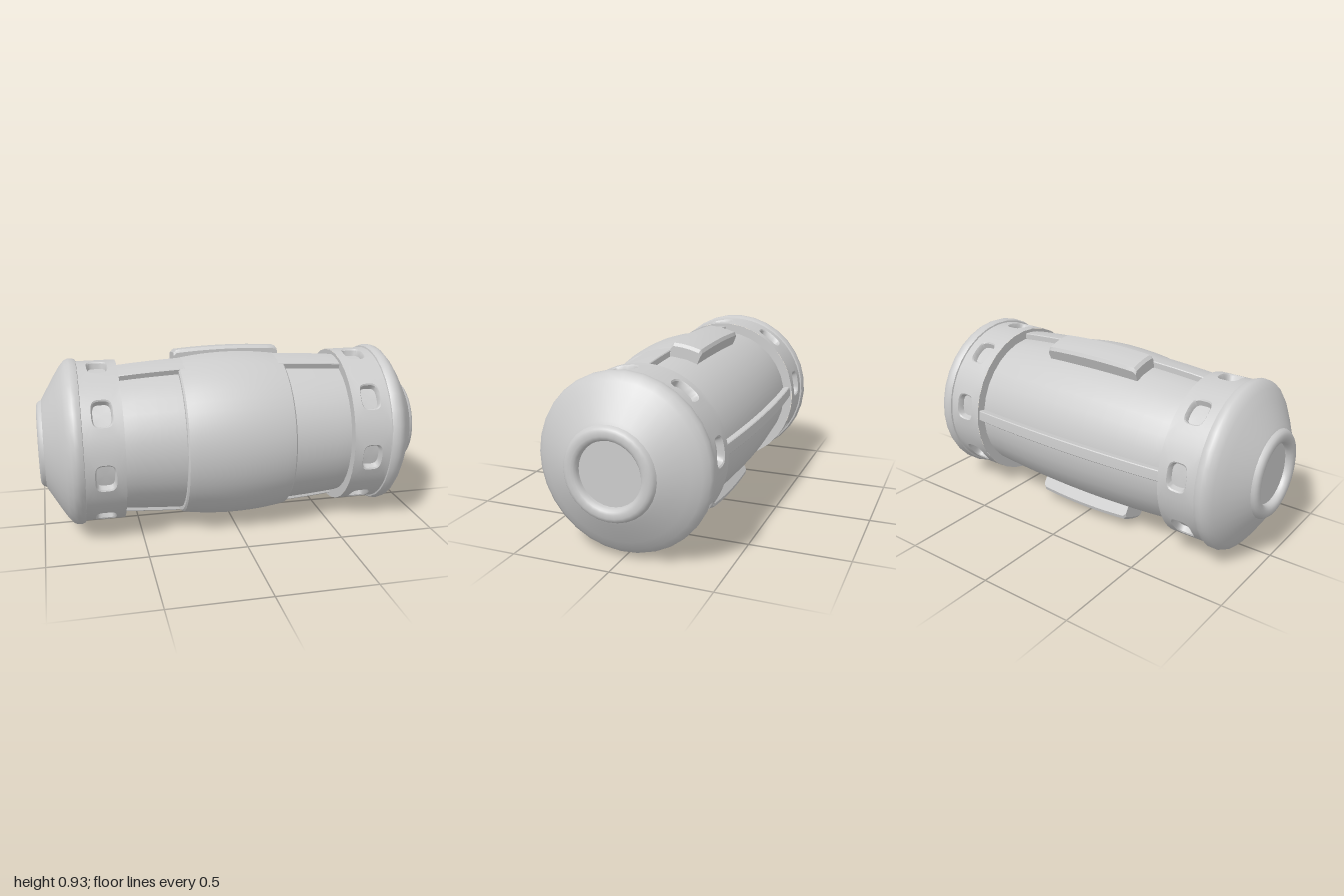
import * as THREE from 'three';
import { mergeGeometries, toCreasedNormals } from 'three/addons/utils/BufferGeometryUtils.js';

const AXIS_Y = 0.457, AXIS_Z = -0.003, DEG = Math.PI / 180;
const material = new THREE.MeshStandardMaterial({ color: 0xcccccc });

// Point at position x along the barrel, radius r, angle a (0 = front, 90 = top)
const polar = (x, r, a) => [x, AXIS_Y + r * Math.sin(a * DEG), AXIS_Z + r * Math.cos(a * DEG)];

// Grid surface: fn(i, j) gives the vertex of row i, column j
function grid(rows, cols, fn, flip = false) {
  const pos = [], index = [];
  for (let i = 0; i <= rows; i++) for (let j = 0; j <= cols; j++) pos.push(...fn(i, j));
  for (let i = 0; i < rows; i++) for (let j = 0; j < cols; j++) {
    const a = i * (cols + 1) + j, b = a + cols + 1;
    if (flip) index.push(a, b + 1, b, a, a + 1, b + 1);
    else index.push(a, b, b + 1, a, b + 1, a + 1);
  }
  const g = new THREE.BufferGeometry();
  g.setAttribute('position', new THREE.Float32BufferAttribute(pos, 3));
  g.setIndex(index);
  return g;
}

// Joins surfaces into one named part, smooth except at sharp edges
function part(name, ...surfaces) {
  const mesh = new THREE.Mesh(toCreasedNormals(mergeGeometries(surfaces), 0.6), material);
  mesh.name = name;
  return mesh;
}

// Full turn of an (x, r) profile; side = -1 mirrors it to the other end
const revolve = (profile, side = 1) => grid(profile.length - 1, 32,
  (i, j) => polar(side * profile[i][0], profile[i][1], -9 + j * 11.25), side < 0);

// Curved plate of half length h: bulging outer radius, bevelled rim, from angle a0 to a1
function plate(name, { h, rEnd, rMid, rIn, a0, a1, bevel }) {
  const outer = [[-h, rEnd - bevel]];
  for (let k = 0; k <= 12; k++) {
    const x = (h - bevel) * (k / 6 - 1);
    outer.push([x, rMid + (rEnd - rMid) * (x / h) ** 2]);
  }
  outer.push([h, rEnd - bevel]);
  const inner = outer.map(([x]) => [x, rIn]);
  const loop = [...outer, ...inner.reverse(), outer[0]];
  // angle stops, with the first and last lowered for the bevel
  const inset = bevel / rEnd / DEG, n = Math.max(2, Math.ceil((a1 - a0) / 7.5));
  const stops = [a0];
  for (let k = 0; k <= n; k++) stops.push(a0 + inset + (a1 - a0 - 2 * inset) * k / n);
  stops.push(a1);
  const last = stops.length - 1;
  const radius = (r, j) => (j === 0 || j === last) && r > rIn ? r - bevel : r;
  const edge = (j, flip) => grid(outer.length - 1, 1, (i, k) =>
    polar(outer[i][0], k ? radius(outer[i][1], j) : rIn, stops[j]), flip);
  return part(name,
    grid(loop.length - 1, last, (i, j) => polar(loop[i][0], radius(loop[i][1], j), stops[j])),
    edge(0, false), edge(last, true));
}

// One eighth of a collar with a rounded rectangular pocket in it
function pocketSector(centre, side) {
  const N = 32, R = 0.418;
  // [half length in x, half angle, radius, exponent of rounding]
  const loops = [
    [0.1, 22.5, R, 0], [0.074, 15.5, R, 7], [0.053, 10, R, 3.5], [0.049, 9.1, R - 0.006, 3.5],
    [0.045, 8.4, R - 0.035, 3.5], [0, 0, R - 0.035, 3.5],
  ];
  return grid(loops.length - 1, N, (i, j) => {
    const [w, half, r, p] = loops[i];
    // walk evenly round a square, then round it off
    const q = (j % N) / (N / 4), s = Math.floor(q), f = 2 * (q - s) - 1;
    let [u, v] = [[1, f], [-f, 1], [-1, -f], [f, -1]][s];
    if (p) {
      const k = (Math.abs(u) ** p + Math.abs(v) ** p) ** (1 / p);
      u /= k; v /= k;
    }
    return polar(side * (0.686 + u * w), r, centre + v * half);
  }, side > 0);
}

export function createModel() {
  const model = new THREE.Group();
  model.name = 'canister';

  // Bulging drum
  const drum = [];
  for (let k = 0; k <= 12; k++) {
    const x = 0.62 * (k / 6 - 1);
    drum.push([x, 0.395 - 0.028 * (x / 0.6) ** 2]);
  }
  model.add(part('drum', revolve(drum)));

  // Raised ribs along the drum: a wide one above and below, a narrow one behind
  const rib = { h: 0.6, rEnd: 0.398, rMid: 0.426, rIn: 0.34, bevel: 0.004 };
  model.add(plate('topRib', { ...rib, a0: 70, a1: 90 }));
  model.add(plate('bottomRib', { ...rib, a0: -100, a1: -80 }));
  model.add(plate('rearRib', { ...rib, rEnd: 0.405, rMid: 0.433, a0: 171, a1: 179 }));

  // Wrapped front panel with a clamp at each end
  model.add(plate('frontPanel',
    { h: 0.28, rEnd: 0.416, rMid: 0.441, rIn: 0.35, a0: -102, a1: 92, bevel: 0.008 }));
  const clamp = { h: 0.28, rEnd: 0.457, rMid: 0.469, rIn: 0.37, bevel: 0.014 };
  model.add(plate('topClamp', { ...clamp, a0: 90.5, a1: 112 }));
  model.add(plate('bottomClamp', { ...clamp, a0: -123, a1: -101.5 }));

  // Both ends: pocketed collar and domed cap with a recessed disc
  for (const side of [1, -1]) {
    const end = new THREE.Group();
    end.name = side > 0 ? 'leftEnd' : 'rightEnd';
    const sectors = [];
    for (let k = 0; k < 8; k++) sectors.push(pocketSector(-9 + 45 * k, side));
    end.add(part('collar', ...sectors));
    end.add(part('collarLip', revolve([[0.6, 0.34], [0.586, 0.35], [0.586, 0.418]], side)));
    end.add(part('endCap', revolve([
      [0.785, 0.416], [0.788, 0.427], [0.805, 0.434], [0.825, 0.434], [0.845, 0.426],
      [0.87, 0.398], [0.9, 0.352], [0.966, 0.241], [0.973, 0.227], [0.986, 0.221],
      [0.995, 0.213], [1, 0.2], [1, 0.18], [0.996, 0.168], [0.988, 0.16],
      [0.978, 0.156], [0.965, 0.155],
    ], side)));
    end.add(part('endDisc', revolve([[0.965, 0.155], [0.965, 0]], side)));
    model.add(end);
  }
  return model;
}
